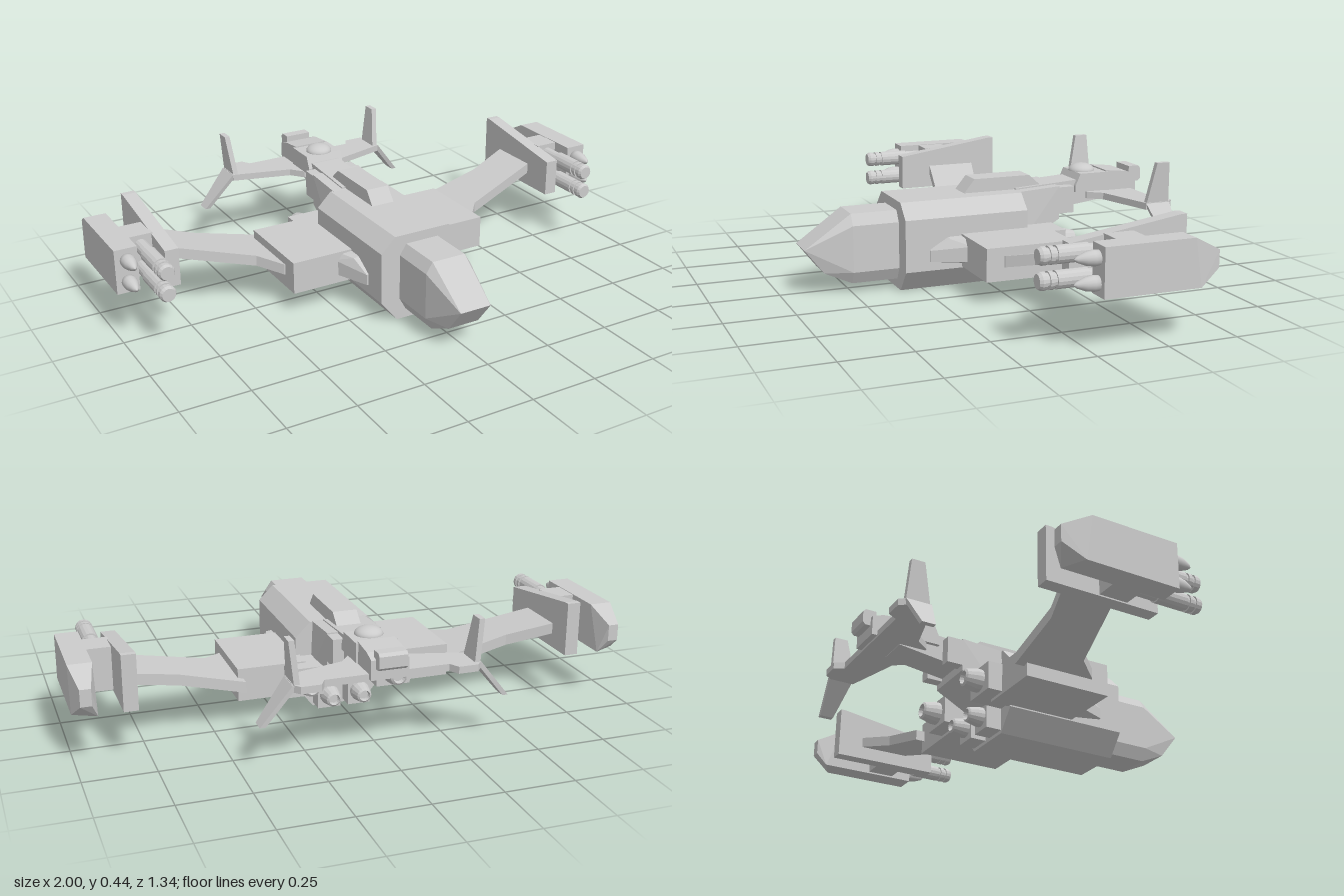
import * as THREE from 'three';
import { ConvexGeometry } from 'three/addons/geometries/ConvexGeometry.js';

const flat = new THREE.MeshStandardMaterial({ color: 0xcccccc, flatShading: true });
const smooth = new THREE.MeshStandardMaterial({ color: 0xcccccc });

// Convex solid around a few corner points
const hull = (pts) => new ConvexGeometry(pts.map((p) => new THREE.Vector3(...p)));

// Ring of points symmetric in x at depth z, from [halfWidth, y] pairs
const ring = (z, half) => half.flatMap(([x, y]) => [[x, y, z], [-x, y, z]]);

// Box from min/max ranges
function box([x0, x1], [y0, y1], [z0, z1]) {
  return new THREE.BoxGeometry(x1 - x0, y1 - y0, z1 - z0)
    .translate((x0 + x1) / 2, (y0 + y1) / 2, (z0 + z1) / 2);
}

// Side profile of [z, y] points spanning x0..x1
const profile = (pts, x0, x1) => hull(pts.flatMap(([z, y]) => [[x0, y, z], [x1, y, z]]));

// Plan outline of [x, z] points, extruded upwards from y
function plan(pts, y, thickness) {
  const shape = new THREE.Shape(pts.map(([x, z]) => new THREE.Vector2(x, -z)));
  return new THREE.ExtrudeGeometry(shape, { depth: thickness, bevelEnabled: false })
    .rotateX(-Math.PI / 2).translate(0, y, 0);
}

// Lathe of [radius, z] points about an axis along z
function turned(pts, x, y, segments = 16) {
  const g = new THREE.LatheGeometry(pts.map(([r, z]) => new THREE.Vector2(r, z)), segments);
  return g.rotateX(Math.PI / 2).translate(x, y, 0);
}

// Mirror in x with the winding put right
function mirrored(geometry) {
  const g = geometry.index ? geometry.toNonIndexed() : geometry.clone();
  g.scale(-1, 1, 1);
  for (const a of Object.values(g.attributes)) {
    const n = a.itemSize;
    for (let i = 0; i < a.count; i += 3) {
      for (let k = 0; k < n; k++) {
        const p = (i + 1) * n + k, q = (i + 2) * n + k;
        [a.array[p], a.array[q]] = [a.array[q], a.array[p]];
      }
    }
  }
  return g;
}

export function createModel() {
  const model = new THREE.Group();
  const add = (name, geometry, material = flat) => {
    const mesh = new THREE.Mesh(geometry, material);
    mesh.name = name;
    model.add(mesh);
  };
  const pair = (name, geometry, material = flat) => {
    add(name + 'Left', geometry, material);
    add(name + 'Right', mirrored(geometry), material);
  };

  // Fuselage, nose and tapering rear
  const section = [[0.11, 0.325], [0.165, 0.27], [0.165, 0.08], [0.1, 0]];
  add('fuselage', hull([...ring(0.33, section), ...ring(-0.14, section)]));
  const noseSection = [[0.065, 0.29], [0.09, 0.25], [0.09, 0.08], [0.065, 0.035]];
  add('nose', hull([
    ...ring(0.32, noseSection), ...ring(0.5, noseSection),
    ...ring(0.6, [[0.06, 0.08]]), ...ring(0.67, [[0.06, 0.17]]),
  ]));
  add('rearFuselage', hull([
    ...ring(-0.13, [[0.1, 0.325], [0.11, 0.12]]),
    ...ring(-0.3, [[0.1, 0.335], [0.1, 0.21]]),
  ]));
  pair('rearBracket', box([0.06, 0.1], [0.23, 0.33], [-0.36, -0.29]));

  // Dorsal hump
  add('dorsalHump', profile(
    [[0.065, 0.32], [0.02, 0.375], [-0.2, 0.375], [-0.25, 0.33], [-0.25, 0.32]], -0.045, 0.045));

  // Tail boom with its block, dome and rear light
  add('tailBoom', profile(
    [[-0.14, 0.33], [-0.14, 0.22], [-0.38, 0.27], [-0.53, 0.27], [-0.53, 0.34], [-0.38, 0.345]], -0.06, 0.06));
  add('tailBlock', profile(
    [[-0.38, 0.325], [-0.4, 0.37], [-0.52, 0.37], [-0.52, 0.3], [-0.38, 0.3]], -0.075, 0.075));
  add('tailEnd', profile(
    [[-0.51, 0.375], [-0.6, 0.365], [-0.64, 0.35], [-0.64, 0.28], [-0.51, 0.28]], -0.067, 0.067));
  add('tailDome', new THREE.SphereGeometry(0.05, 20, 8, 0, Math.PI * 2, 0, Math.PI / 2)
    .scale(1, 0.55, 1).translate(0, 0.37, -0.44), smooth);
  add('tailLight', profile(
    [[-0.62, 0.38], [-0.66, 0.38], [-0.67, 0.37], [-0.67, 0.33], [-0.66, 0.32], [-0.62, 0.32]], -0.05, 0.05));

  // Tailplane and its angled fins
  pair('tailplane', plan([
    [0, -0.43], [0.07, -0.43], [0.11, -0.48], [0.33, -0.54], [0.33, -0.63],
    [0.31, -0.655], [0.24, -0.655], [0.22, -0.62], [0, -0.62],
  ], 0.272, 0.025));
  const finEdge = (x, y, z0, z1) => [x - 0.01, x + 0.01].flatMap((e) => [[e, y, z0], [e, y, z1]]);
  pair('upperFin', hull([
    ...finEdge(0.315, 0.275, -0.54, -0.635), ...finEdge(0.332, 0.445, -0.575, -0.625)]));
  pair('lowerFin', hull([
    ...finEdge(0.322, 0.295, -0.54, -0.635), ...finEdge(0.43, 0.16, -0.575, -0.625)]));

  // Nacelle, air intake and inner wing box
  pair('nacelle', box([0.1, 0.23], [0.095, 0.2], [-0.265, 0.11]));
  pair('intake', hull([
    [0.15, 0.16, 0.24], [0.15, 0.11, 0.24], [0.172, 0.155, 0.24], [0.172, 0.115, 0.24],
    [0.15, 0.2, 0.17], [0.185, 0.195, 0.17],
    [0.15, 0.2, 0.1], [0.21, 0.195, 0.1], [0.228, 0.17, 0.1], [0.228, 0.115, 0.1], [0.15, 0.09, 0.1],
  ]));
  pair('innerWing', box([0.15, 0.4], [0.085, 0.205], [-0.21, 0.118]));

  // Outer wing: thin plan swept upwards to the tip
  const wing = plan([
    [0.38, 0.06], [0.405, 0.05], [0.475, -0.03], [0.79, -0.105],
    [0.79, -0.3], [0.62, -0.25], [0.38, -0.245],
  ], 0.128, 0.04);
  const p = wing.attributes.position;
  for (let i = 0; i < p.count; i++) p.setY(i, p.getY(i) + (p.getX(i) - 0.38) * 0.255);
  wing.computeVertexNormals();
  pair('outerWing', wing);

  // Wing-tip plate, connector and weapon pod
  pair('tipPlate', profile(
    [[0.02, 0.318], [-0.38, 0.378], [-0.4, 0.378], [-0.4, 0.18], [0.02, 0.18]], 0.785, 0.835));
  pair('podConnector', box([0.83, 0.925], [0.185, 0.34], [-0.205, -0.1]));
  pair('weaponPod', hull([
    ...[-0.018, -0.335].flatMap((z) => [
      [0.918, 0.342, z], [1, 0.342, z], [0.918, 0.178, z], [1, 0.178, z]]),
    [0.918, 0.178, -0.4], [1, 0.178, -0.36], [0.918, 0.178, -0.36], [1, 0.178, -0.36],
    ...[0.94, 0.978].flatMap((x) => [[x, 0.29, -0.435], [x, 0.23, -0.435]]),
  ]));

  // Missiles and ringed cannon barrels, two of each per side
  const barrel = [
    [0, -0.11], [0.025, -0.11], [0.025, -0.02], [0.03, -0.02], [0.03, 0.09],
    [0.025, 0.09], [0.025, 0.1], [0.03, 0.1], [0.03, 0.115], [0.025, 0.115],
    [0.025, 0.125], [0.03, 0.125], [0.03, 0.14], [0.024, 0.15], [0, 0.15],
  ];
  const missile = [[0, -0.03], [0.024, -0.03], [0.026, 0], [0.022, 0.025], [0.01, 0.055], [0, 0.065]];
  for (const [level, y] of [['upper', 0.3], ['lower', 0.22]]) {
    pair(level + 'Cannon', turned(barrel, 0.877, y), flat);
    pair(level + 'Missile', turned(missile, 0.957, y), smooth);
  }

  // Engine nozzles with mounts for the lower two
  const nozzle = (z) => [
    [0, z - 0.05], [0.02, z - 0.05], [0.024, z - 0.065], [0.032, z - 0.06], [0.042, z - 0.02], [0.042, z + 0.02], [0, z + 0.02],
  ].reverse().map(([r, d]) => [r, d]).reverse();
  const outward = (pts) => pts.slice();
  pair('upperNozzle', turned(outward(nozzle(-0.265)), 0.163, 0.148), flat);
  pair('lowerMount', box([0.015, 0.1], [0.012, 0.1], [-0.2, -0.13]));
  pair('lowerNozzle', turned(outward(nozzle(-0.195)).map(([r, d]) => [r * 0.85, d]), 0.058, 0.063), flat);

  return model;
}
